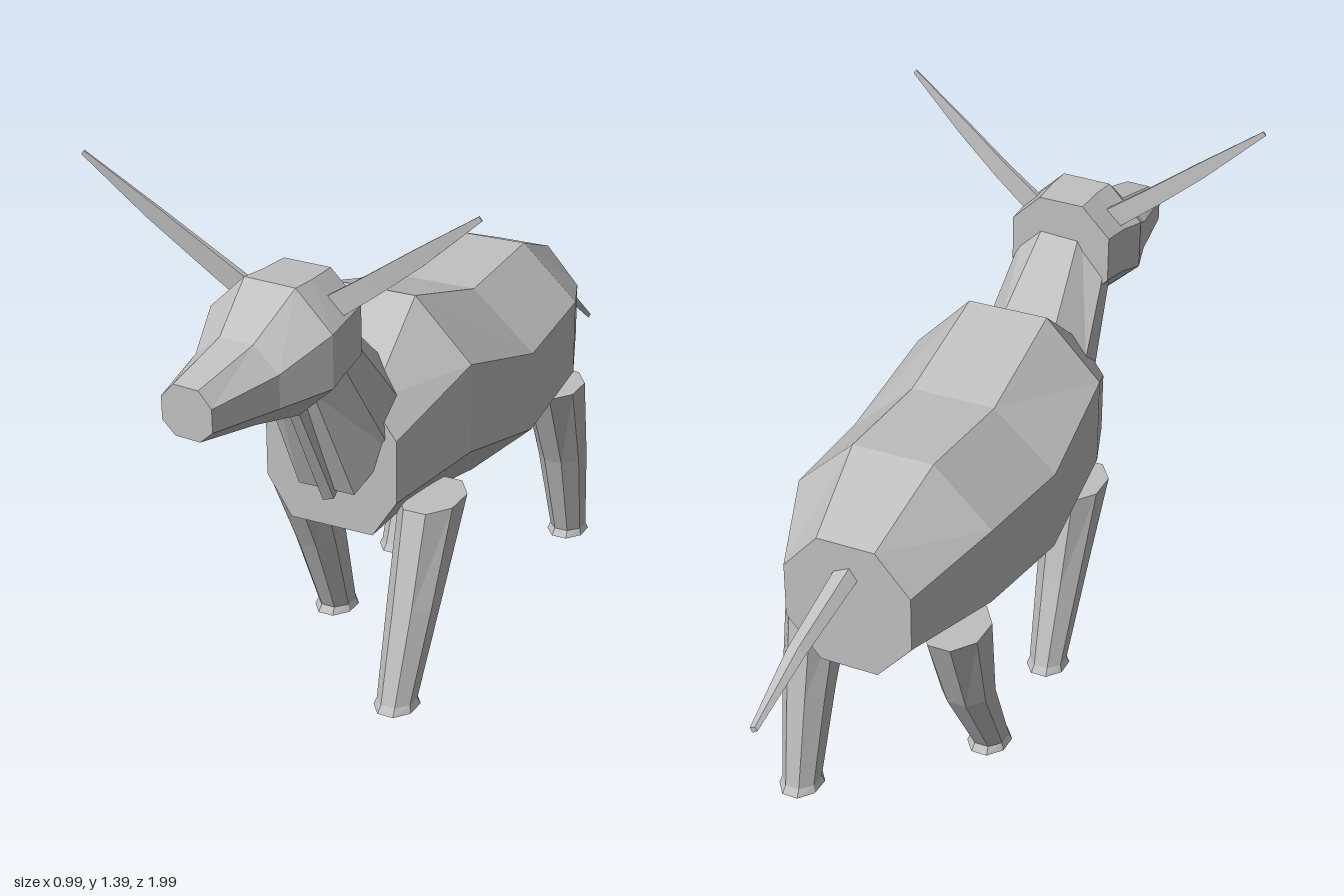
import * as THREE from 'three';

const V = (x, y, z) => new THREE.Vector3(x, y, z);

// Octagonal ring across z: centre x, half width, half width of flat top, four heights,
// z slant per unit of x and of y
function ringZ(z, cx, w, i, top, upper, lower, bottom, slantX = 0, slantY = 0) {
  const outline = [[i, top], [w, upper], [w, lower], [i, bottom],
    [-i, bottom], [-w, lower], [-w, upper], [-i, top]];
  return outline.map(([x, y]) => V(cx + x, y, z + slantX * x + slantY * (y - bottom)));
}

// Octagonal ring lying flat, for the legs
function ringY(y, cx, cz, wx, wz) {
  const ring = [];
  for (let k = 0; k < 8; k++) {
    const a = (k + 0.5) * Math.PI / 4, s = 1 / Math.cos(Math.PI / 8);
    ring.push(V(cx + Math.cos(a) * wx * s, y, cz + Math.sin(a) * wz * s));
  }
  return ring;
}

// Skin a closed solid over a row of rings
function loft(name, rings, material) {
  const n = rings[0].length, last = rings.length - 1;
  const tris = [];
  for (let r = 0; r < last; r++) {
    for (let k = 0; k < n; k++) {
      const a = rings[r][k], b = rings[r][(k + 1) % n];
      const c = rings[r + 1][(k + 1) % n], d = rings[r + 1][k];
      tris.push([a, b, c], [a, c, d]);
    }
  }
  for (let k = 1; k < n - 1; k++) {
    tris.push([rings[0][0], rings[0][k + 1], rings[0][k]]);
    tris.push([rings[last][0], rings[last][k], rings[last][k + 1]]);
  }
  // Turn the faces outward whichever way the rings run
  let volume = 0;
  for (const [a, b, c] of tris) volume += a.dot(b.clone().cross(c));
  if (volume < 0) tris.forEach((t) => t.reverse());
  const geometry = new THREE.BufferGeometry().setFromPoints(tris.flat());
  geometry.computeVertexNormals();
  const mesh = new THREE.Mesh(geometry, material);
  mesh.name = name;
  return mesh;
}

export function createModel() {
  const group = new THREE.Group();
  group.name = 'hornedCattle';
  const hide = new THREE.MeshStandardMaterial({ color: 0xbfbfbf });
  hide.name = 'grey hide';
  hide.flatShading = true;
  const add = (name, rings) => group.add(loft(name, rings, hide));

  // Barrel of the body, chest to rump
  add('body', [
    ringZ(0.455, 0.01, 0.175, 0.11, 0.81, 0.72, 0.56, 0.46),
    ringZ(0.22, 0.008, 0.257, 0.108, 0.99, 0.84, 0.61, 0.455),
    ringZ(-0.1, 0.008, 0.277, 0.112, 0.895, 0.75, 0.54, 0.39),
    ringZ(-0.42, 0.008, 0.257, 0.106, 0.91, 0.77, 0.57, 0.43),
    ringZ(-0.675, 0, 0.165, 0.075, 0.81, 0.71, 0.57, 0.47),
  ]);

  // Neck, its base sunk into the shoulders
  add('neck', [
    ringZ(0.478, 0.01, 0.15, 0.075, 0.89, 0.80, 0.685, 0.57, 0, -0.38),
    ringZ(0.61, 0.003, 0.122, 0.05, 1.09, 1.03, 0.95, 0.88, 0, -0.24),
  ]);

  // Thin fold of skin under the throat
  add('dewlap', [
    [V(-0.02, 0.87, 0.6), V(-0.012, 0.865, 0.635), V(0.018, 0.865, 0.637), V(0.025, 0.87, 0.6)],
    [V(0.0, 0.58, 0.45), V(0.002, 0.54, 0.482), V(0.032, 0.55, 0.482), V(0.036, 0.58, 0.45)],
  ]);

  // Head, turned slightly to one side toward the muzzle
  add('head', [
    ringZ(0.53, 0, 0.14, 0.062, 1.16, 1.085, 0.965, 0.885, 0.05),
    ringZ(0.62, 0, 0.15, 0.065, 1.163, 1.08, 0.957, 0.868, 0.08),
    ringZ(0.685, -0.007, 0.163, 0.068, 1.165, 1.075, 0.947, 0.86, 0.08),
    ringZ(0.81, -0.021, 0.111, 0.044, 1.07, 1.015, 0.935, 0.88, 0.08),
    ringZ(0.993, -0.037, 0.067, 0.033, 1.03, 0.995, 0.94, 0.91, 0.1),
  ]);

  // Flat, sweeping horns: [x, y, z, half width, half thickness]
  const hornPath = [
    [0.115, 1.105, 0.61, 0.028, 0.008],
    [0.21, 1.172, 0.622, 0.025, 0.006],
    [0.335, 1.265, 0.643, 0.02, 0.004],
    [0.493, 1.388, 0.67, 0.006, 0.002],
  ];
  for (const side of [1, -1]) {
    add(side > 0 ? 'leftHorn' : 'rightHorn', hornPath.map(([x, y, z, w, t]) => {
      const dx = 0.6 * w, dy = 0.8 * w;
      return [V(side * (x - dx), y + dy, z - t), V(side * (x - dx), y + dy, z + t),
        V(side * (x + dx), y - dy, z + t), V(side * (x + dx), y - dy, z - t)];
    }));
  }

  // Striding legs: name, x, ground y, then z at hip, knee and hoof
  const legs = [
    ['leftFrontLeg', 0.19, 0.018, 0.27, 0.375, 0.465],
    ['rightFrontLeg', -0.175, 0.018, 0.27, 0.185, 0.1],
    ['leftHindLeg', 0.19, 0, -0.47, -0.54, -0.6],
    ['rightHindLeg', -0.175, 0.022, -0.455, -0.39, -0.27],
  ];
  for (const [name, x, ground, hip, knee, hoof] of legs) {
    add(name, [
      ringY(0.5, x, hip, 0.072, 0.102),
      ringY(0.265, x + 0.002, knee, 0.06, 0.068),
      ringY(ground + 0.018, x, hoof, 0.045, 0.05),
      ringY(ground, x, hoof, 0.051, 0.064),
    ]);
  }

  // Tail swinging back and to the side: [x, y, z, half width, half depth]
  const tailPath = [
    [-0.002, 0.735, -0.65, 0.032, 0.03],
    [0.032, 0.62, -0.86, 0.023, 0.021],
    [0.07, 0.488, -0.995, 0.01, 0.009],
  ];
  add('tail', tailPath.map(([x, y, z, w, h]) => [V(x - w, y, z), V(x - w / 3, y + h, z),
    V(x + w, y + h / 3, z), V(x + w / 3, y - h, z)]));

  return group;
}
